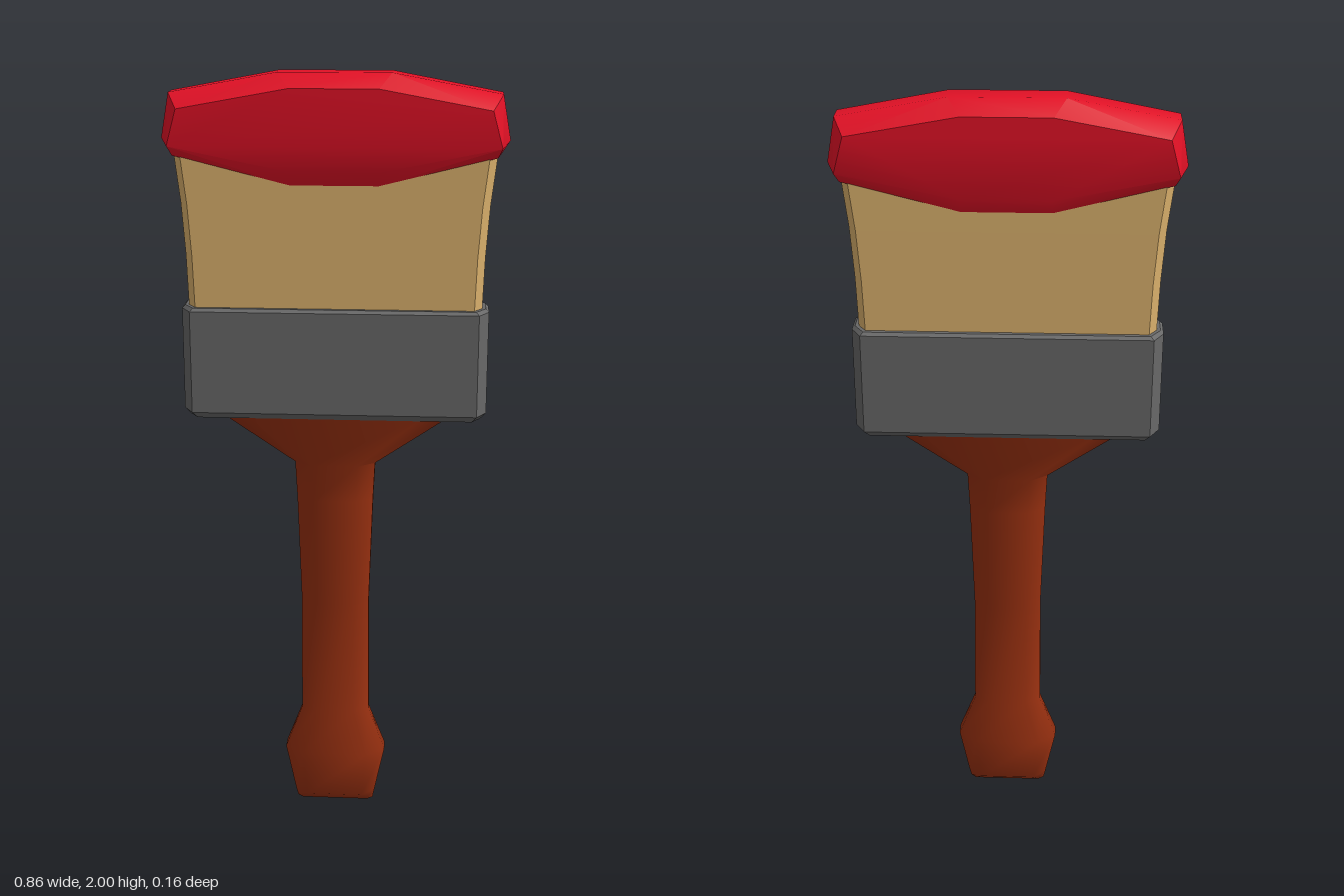
import * as THREE from 'three';
import { toCreasedNormals } from 'three/addons/utils/BufferGeometryUtils.js';
import { ConvexGeometry } from 'three/addons/geometries/ConvexGeometry.js';

const material = (name, color) => {
  const m = new THREE.MeshStandardMaterial({ color });
  m.name = name;
  return m;
};

// Chamfered rectangular ring: half width, half depth, corner cut in x, half depth of the end facet
const ring = ([y, hx, hz, cut, end]) => [
  [hx, end], [hx - cut, hz], [cut - hx, hz], [-hx, end],
  [-hx, -end], [cut - hx, -hz], [hx - cut, -hz], [hx, -end],
].map(([x, z]) => [x, y, z]);

// Skin a stack of rings from bottom to top and close both ends
function loft(rows, crease) {
  const rings = rows.map(ring);
  const n = rings[0].length;
  const pos = rings.flat(2);
  const index = [];
  for (let i = 0; i < rings.length - 1; i++) {
    for (let j = 0; j < n; j++) {
      const k = (j + 1) % n;
      const a = i * n + j, b = i * n + k;
      index.push(a, a + n, b, b, a + n, b + n);
    }
  }
  const top = (rings.length - 1) * n;
  for (let j = 1; j < n - 1; j++) {
    index.push(0, j, j + 1, top, top + j + 1, top + j);
  }
  const geo = new THREE.BufferGeometry();
  geo.setAttribute('position', new THREE.Float32BufferAttribute(pos, 3));
  geo.setIndex(index);
  return toCreasedNormals(geo.toNonIndexed(), crease);
}

export function createModel() {
  const group = new THREE.Group();
  const add = (name, geo, mat) => {
    const mesh = new THREE.Mesh(geo, mat);
    mesh.name = name;
    group.add(mesh);
  };

  // Wooden handle: bulbous grip end, slim shaft, flared neck
  add('handle', loft([
    [0, 0.105, 0.02, 0.015, 0.008],
    [0.03, 0.11, 0.052, 0.035, 0.02],
    [0.16, 0.137, 0.06, 0.05, 0.02],
    [0.28, 0.092, 0.035, 0.04, 0.012],
    [0.6, 0.09, 0.043, 0.04, 0.015],
    [0.9, 0.1, 0.05, 0.045, 0.018],
    [1.0, 0.105, 0.054, 0.045, 0.02],
    [1.14, 0.31, 0.064, 0.08, 0.025],
  ], 1.15), material('wood', 0x983010));

  // Metal band with bevelled rims
  add('ferrule', loft([
    [1.13, 0.375, 0.065, 0.022, 0.03],
    [1.147, 0.39, 0.08, 0.025, 0.035],
    [1.412, 0.39, 0.08, 0.025, 0.035],
    [1.42, 0.382, 0.073, 0.025, 0.032],
  ], 0.6), material('metal', 0x686868));

  // Bristles flaring toward the tip
  add('bristles', loft([
    [1.4, 0.372, 0.062, 0.02, 0.03],
    [1.55, 0.377, 0.062, 0.02, 0.03],
    [1.68, 0.386, 0.062, 0.02, 0.03],
    [1.84, 0.405, 0.062, 0.02, 0.03],
  ], 0.6), material('bristle', 0xdcb26d));

  // Paint load: faceted cap mirrored across both axes
  const corners = [
    [0.14, 2.0, 0.035], [0.11, 1.965, 0.08],
    [0.41, 1.95, 0.03], [0.385, 1.915, 0.08],
    [0.43, 1.84, 0.03], [0.41, 1.825, 0.08],
    [0.4, 1.8, 0.06], [0.11, 1.765, 0.08], [0.11, 1.73, 0.062],
  ];
  const points = [];
  for (const sx of [1, -1]) for (const sz of [1, -1]) {
    for (const [x, y, z] of corners) points.push(new THREE.Vector3(x * sx, y, z * sz));
  }
  add('paint', toCreasedNormals(new ConvexGeometry(points), 0.72), material('red paint', 0xe41126));

  return group;
}
